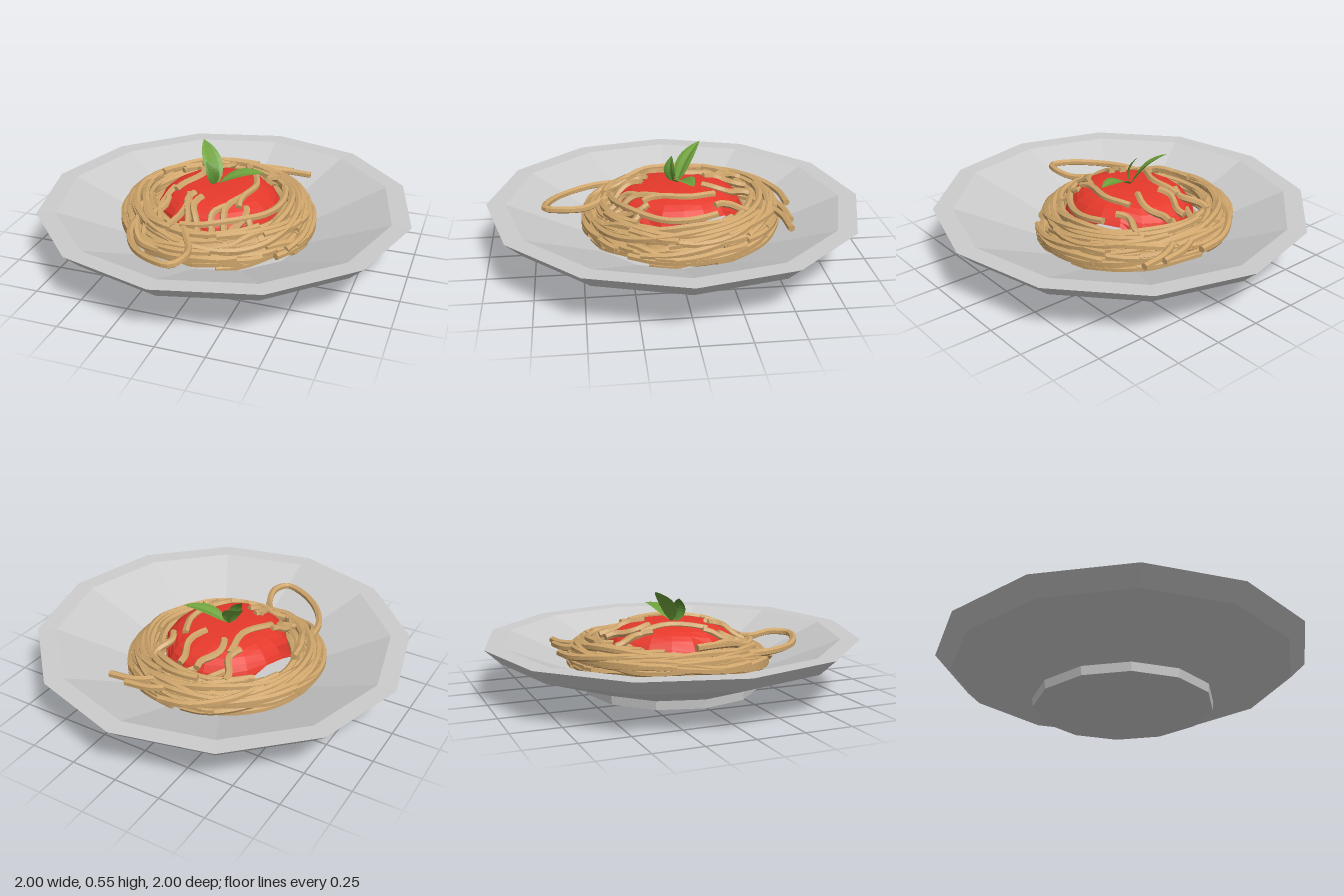
import * as THREE from 'three';
import { mergeGeometries } from 'three/addons/utils/BufferGeometryUtils.js';

const V = (x, y, z) => new THREE.Vector3(x, y, z);

// Small seeded random generator
let seed = 11;
const rnd = (a = 0, b = 1) => {
  seed = (seed * 16807) % 2147483647;
  return a + (b - a) * (seed / 2147483647);
};

function mesh(name, geometry, color, extra = {}) {
  const m = new THREE.Mesh(geometry, new THREE.MeshStandardMaterial({ color, flatShading: true, ...extra }));
  m.name = name;
  return m;
}

// Nest of noodles: an oval mound resting in the bowl
const NEST = { x: -0.05, z: -0.04, a: 0.53, b: 0.54 };
const bowlY = (r) => 0.1 + Math.max(0, r - 0.45) * 0.41;
const nestTop = (x, z) => {
  const rho = Math.hypot((x - NEST.x) / NEST.a, (z - NEST.z) / NEST.b);
  return 0.36 - 0.16 * rho ** 4 - 0.05 * z - 0.03 * x;
};
// Sauce: a flattened dome sitting in the nest
const SAUCE = { x: -0.04, z: -0.02, rx: 0.34, rz: 0.36, y: 0.2, h: 0.175 };
const sauceTop = (x, z) => {
  const q = ((x - SAUCE.x) / SAUCE.rx) ** 2 + ((z - SAUCE.z) / SAUCE.rz) ** 2;
  return SAUCE.y + SAUCE.h * Math.sqrt(Math.max(0, 1 - q * q));
};

// One capped noodle swept along a smooth path
const section = new THREE.Shape(
  Array.from({ length: 6 }, (_, i) => new THREE.Vector2(
    0.019 * Math.cos(i * Math.PI / 3), 0.019 * Math.sin(i * Math.PI / 3))));
function noodle(points, steps = 26) {
  return new THREE.ExtrudeGeometry(section, {
    steps, bevelEnabled: false, extrudePath: new THREE.CatmullRomCurve3(points),
  });
}

// Noodle wound around the nest at a given radius and depth
function woundNoodle(rho, depth, start, sweep) {
  const n = 10, drift = rnd(-0.12, 0.12), phase = rnd(0, 6.28), wave = rnd(0.01, 0.05);
  const points = [];
  for (let i = 0; i <= n; i++) {
    const t = i / n, angle = start + sweep * t;
    const r = Math.min(0.97, rho + drift * (t - 0.5) + wave * Math.sin(phase + 5 * t));
    const x = NEST.x + NEST.a * r * Math.cos(angle);
    const z = NEST.z + NEST.b * r * Math.sin(angle);
    const floor = bowlY(Math.hypot(x, z)) + 0.025;
    const top = Math.max(floor, nestTop(x, z) - 0.01);
    points.push(V(x, top + (floor - top) * depth + 0.008 * Math.sin(phase + 9 * t), z));
  }
  return noodle(points);
}

// Short wavy noodle lying over the sauce
function toppingNoodle(x0, z0, length, lean) {
  const points = [], phase = rnd(0, 6.28);
  for (let i = 0; i <= 7; i++) {
    const t = i / 7;
    const x = x0 + lean * t + 0.022 * Math.sin(phase + 6 * t);
    const z = z0 + length * t;
    points.push(V(x, Math.max(sauceTop(x, z) + 0.002, nestTop(x, z) - 0.03), z));
  }
  return noodle(points, 18);
}

function makeNoodles() {
  const parts = [];
  for (let i = 0; i < 125; i++) {
    const rho = 0.64 + 0.33 * Math.sqrt(rnd());
    parts.push(woundNoodle(rho, rnd() ** 1.5, rnd(0, 6.28), rnd(1.0, 2.8)));
  }
  // Strands over the front, back and middle of the sauce
  for (let i = 0; i < 9; i++) {
    const x = -0.32 + i * 0.067;
    parts.push(toppingNoodle(x, 0.38, -rnd(0.16, 0.36), rnd(-0.03, 0.06)));
    if (i % 2) parts.push(toppingNoodle(x + 0.02, -0.4, rnd(0.14, 0.26), rnd(-0.03, 0.05)));
  }
  parts.push(toppingNoodle(-0.16, -0.24, 0.34, -0.06), toppingNoodle(0.12, -0.2, 0.38, 0.03));
  // Loose loop resting on the front of the bowl
  parts.push(noodle([V(-0.4, 0.24, 0.2), V(-0.38, 0.24, 0.4), V(-0.28, 0.24, 0.57), V(-0.14, 0.25, 0.67),
    V(-0.04, 0.255, 0.69), V(0, 0.26, 0.6), V(-0.03, 0.25, 0.48), V(-0.1, 0.27, 0.36)], 36));
  parts.push(noodle([V(-0.41, 0.27, 0.1), V(-0.38, 0.24, 0.32), V(-0.31, 0.2, 0.43), V(-0.2, 0.19, 0.47)]));
  // Loose ends at the back
  for (const [x, z] of [[0, -0.62], [0.22, -0.59], [0.33, -0.57]]) {
    parts.push(noodle([V(x, 0.24, z), V(x - 0.16, 0.25, z + 0.02), V(x - 0.32, 0.27, z + 0.13),
      V(x - 0.42, 0.28, z + 0.3)]));
  }
  return mesh('noodles', mergeGeometries(parts), 0xcda46a);
}

function makeSauce() {
  const g = new THREE.SphereGeometry(1, 18, 10, 0, Math.PI * 2, 0, Math.PI / 2);
  const p = g.attributes.position;
  for (let i = 0; i < p.count; i++) {
    const angle = Math.atan2(p.getZ(i), p.getX(i));
    const lump = 1 + 0.04 * Math.sin(3 * angle) + 0.03 * Math.sin(5 * angle + 1);
    const x = SAUCE.x + SAUCE.rx * p.getX(i) * lump;
    const z = SAUCE.z + SAUCE.rz * p.getZ(i) * lump;
    p.setXYZ(i, x, sauceTop(x, z), z);
  }
  return mesh('sauce', g, 0xe5392b, { side: THREE.DoubleSide });
}

// Pointed leaf folded along its midrib, built from cross-sections
function leaf(name, base, tip, facing, width, color) {
  const dir = tip.clone().sub(base);
  const side = dir.clone().cross(facing).normalize();
  const normal = side.clone().cross(dir).normalize();
  const n = 8, positions = [], index = [];
  for (let i = 0; i <= n; i++) {
    const t = i / n;
    const w = width / 2 * Math.sin(Math.PI * t ** 0.85) ** 0.8 + 0.003 * (1 - t);
    const mid = base.clone().addScaledVector(dir, t)
      .addScaledVector(normal, 0.02 * Math.sin(Math.PI * t));
    for (const s of [-1, -0.55, 0, 0.55, 1]) {
      const lift = w * (0.55 * Math.abs(s) - 0.3 * s * s);
      positions.push(...mid.clone().addScaledVector(side, s * w).addScaledVector(normal, lift).toArray());
    }
  }
  for (let i = 0; i < n; i++) {
    for (let j = 0; j < 4; j++) {
      const a = i * 5 + j, b = a + 5;
      index.push(a, a + 1, b, a + 1, b + 1, b);
    }
  }
  const g = new THREE.BufferGeometry();
  g.setAttribute('position', new THREE.Float32BufferAttribute(positions, 3));
  g.setIndex(index);
  g.computeVertexNormals();
  return mesh(name, g, color, { side: THREE.DoubleSide });
}

export function createModel() {
  const model = new THREE.Group();
  model.name = 'pastaPlate';

  // Twelve-sided bowl with foot and flat rim, very slightly tilted
  const profile = [[0, 0.005], [0.475, 0.005], [0.48, 0.052], [0.915, 0.208], [1, 0.288],
    [0.9, 0.286], [0.45, 0.1], [0, 0.1]].map(([r, y]) => new THREE.Vector2(r, y));
  const plate = mesh('plate', new THREE.LatheGeometry(profile, 12, -0.023), 0xcccccc);
  plate.rotation.set(-0.01, 0, 0.007);
  plate.position.y = 0.002;
  model.add(plate, makeSauce(), makeNoodles());

  // Basil garnish
  const basil = new THREE.Group();
  basil.name = 'basil';
  basil.add(
    leaf('tallLeaf', V(-0.05, 0.37, -0.02), V(-0.18, 0.555, -0.16), V(0.6, 0.6, 0.8), 0.1, 0x6fa23c),
    leaf('sideLeaf', V(-0.04, 0.375, -0.02), V(0.195, 0.44, -0.08), V(-0.2, 1, 0.1), 0.1, 0x6fa23c),
    leaf('smallLeaf', V(-0.06, 0.37, 0), V(-0.11, 0.5, 0), V(0.7, 0.3, 0.7), 0.07, 0x5a8c32));
  model.add(basil);
  return model;
}
